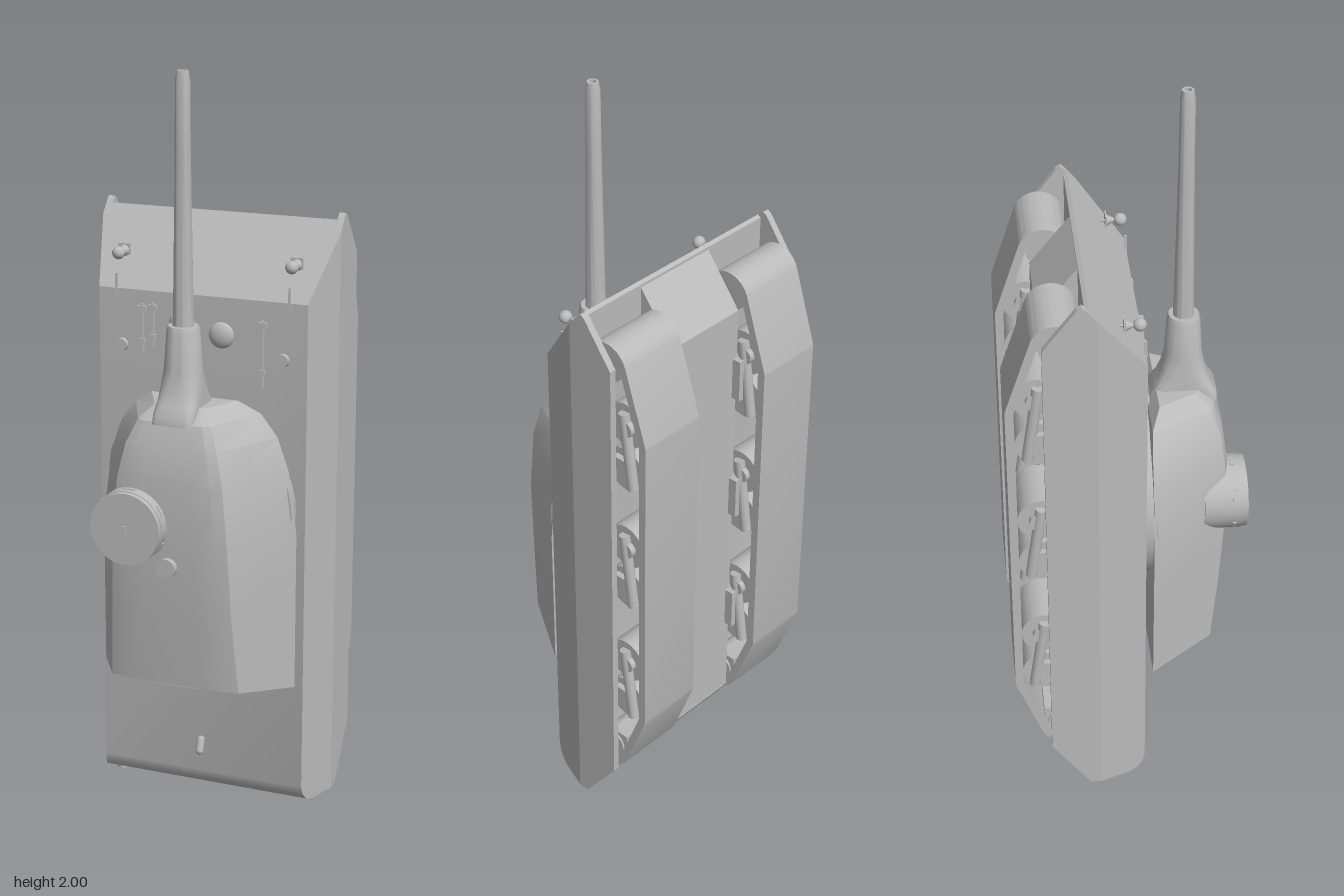
import * as THREE from 'three';
import { toCreasedNormals } from 'three/addons/utils/BufferGeometryUtils.js';

const grey = new THREE.MeshStandardMaterial({ color: 0xbababa });
grey.name = 'light grey';

export function createModel() {
  const root = new THREE.Group();
  const add = (name, geo, x = 0, y = 0, z = 0, parent = root) => {
    const m = new THREE.Mesh(geo, grey);
    m.name = name;
    m.position.set(x, y, z);
    parent.add(m);
    return m;
  };
  const box = (w, h, d) => new THREE.BoxGeometry(w, h, d);
  const cylX = (r, len, n = 24) => new THREE.CylinderGeometry(r, r, len, n).rotateZ(Math.PI / 2);
  // Cylinder along z with a back and a front radius
  const cylZ = (back, front, len, n = 32) => new THREE.CylinderGeometry(front, back, len, n).rotateX(Math.PI / 2);

  // Side profile of [z, y] points extruded across x
  const slab = (pts, width, hole) => {
    const shape = new THREE.Shape(pts.map(p => new THREE.Vector2(...p)));
    if (hole) shape.holes.push(new THREE.Path(hole.map(p => new THREE.Vector2(...p))));
    const g = new THREE.ExtrudeGeometry(shape, { depth: width, bevelEnabled: false });
    return g.translate(0, 0, -width / 2).rotateY(-Math.PI / 2);
  };

  // Skin over rings of [x, y, z] points, counterclockwise seen from above
  const loft = (rings, crease) => {
    const v = [];
    const n = rings[0].length;
    for (let k = 0; k + 1 < rings.length; k++) {
      for (let i = 0; i < n; i++) {
        const j = (i + 1) % n, a = rings[k], b = rings[k + 1];
        v.push(...a[i], ...a[j], ...b[j], ...a[i], ...b[j], ...b[i]);
      }
    }
    const lo = rings[0], hi = rings[rings.length - 1];
    for (let i = 1; i < n - 1; i++) {
      v.push(...hi[0], ...hi[i], ...hi[i + 1], ...lo[0], ...lo[i + 1], ...lo[i]);
    }
    const g = new THREE.BufferGeometry();
    g.setAttribute('position', new THREE.Float32BufferAttribute(v, 3));
    return toCreasedNormals(g, crease);
  };

  // Upper hull, sides leaning inward towards the deck
  const upper = slab([[0.035, 1.41], [-0.09, 1.578], [-0.09, 0.02], [-0.01, 0.02],
    [0.012, 0.027], [0.028, 0.045], [0.035, 0.07]], 2);
  const pos = upper.attributes.position;
  for (let i = 0; i < pos.count; i++) {
    const t = (pos.getZ(i) + 0.09) / 0.125;
    pos.setX(i, Math.sign(pos.getX(i)) * (0.333 - 0.043 * t));
  }
  upper.computeVertexNormals();
  add('upperHull', toCreasedNormals(upper, 0.5));

  // Sponson floor, belly and sloped rear plate
  add('sponsonFloor', slab([[-0.09, 1.578], [-0.11, 1.605], [-0.12, 1.6], [-0.12, 0.03], [-0.09, 0.03]], 0.632));
  add('belly', slab([[-0.09, 1.578], [-0.11, 1.605], [-0.225, 1.46], [-0.225, 0.19], [-0.115, 0.03], [-0.09, 0.03]], 0.24));
  add('rearPlate', slab([[-0.1, 0.03], [-0.12, 0.03], [-0.175, 0.115], [-0.165, 0.125], [-0.1, 0.07]], 0.632));

  // Outline around the running gear circles [z, y, radius]
  const loop = inset => {
    const circles = [[-0.19, 1.49, 0.065], [-0.26, 1.3, 0.058], [-0.26, 0.405, 0.058], [-0.19, 0.235, 0.065]];
    const pts = [];
    for (let i = 0; i < 72; i++) {
      const a = i / 72 * Math.PI * 2, c = Math.cos(a), s = Math.sin(a);
      const best = circles.reduce((p, q) =>
        q[0] * c + q[1] * s + q[2] > p[0] * c + p[1] * s + p[2] ? q : p);
      pts.push([best[0] + (best[2] - inset) * c, best[1] + (best[2] - inset) * s]);
    }
    return pts;
  };

  // Running gear, mirrored on both sides
  for (const s of [1, -1]) {
    const side = new THREE.Group();
    side.name = s > 0 ? 'leftRunningGear' : 'rightRunningGear';
    root.add(side);
    add('skirt', slab([[-0.09, 1.578], [-0.118, 1.612], [-0.128, 1.62], [-0.14, 1.612], [-0.225, 1.5],
      [-0.225, 0.17], [-0.12, 0.02], [-0.09, 0.02]], 0.018), s * 0.324, 0, 0, side);
    add('track', toCreasedNormals(slab(loop(0), 0.188, loop(0.022)), 0.4), s * 0.215, 0, 0, side);
    add('driveSprocket', cylX(0.044, 0.18), s * 0.215, 1.49, -0.19, side);
    add('idler', cylX(0.044, 0.18), s * 0.215, 0.235, -0.19, side);

    // Three bogies, each with two wheels and slanted arms
    for (const y of [1.26, 0.88, 0.49]) {
      for (const dy of [0.068, -0.068]) {
        add('roadWheel', cylX(0.062, 0.15), s * 0.215, y + dy, -0.234, side);
        add('wheelHub', cylX(0.022, 0.18, 16), s * 0.215, y + dy, -0.245, side);
      }
      for (const x of [0.134, 0.296]) {
        const arm = add('bogieArm', new THREE.CylinderGeometry(0.015, 0.015, 0.22, 12), s * x, y, -0.25, side);
        arm.rotation.x = 0.14;
        add('bogieBracket', box(0.02, 0.06, 0.06), s * x, y - 0.06, -0.235, side);
      }
      add('bogieMount', box(0.03, 0.12, 0.05), s * 0.12, y, -0.225, side);
    }
    add('idlerBracket', box(0.17, 0.07, 0.04), s * 0.215, 0.25, -0.222, side);

    // Headlight on a flared stalk with a guard
    add('headlight', new THREE.SphereGeometry(0.017, 20, 14), s * 0.24, 1.5, 0.02, side);
    add('headlightFlare', cylZ(0.016, 0.005, 0.022, 12), s * 0.24, 1.5, -0.007, side);
    add('headlightStalk', cylZ(0.003, 0.003, 0.03, 8), s * 0.24, 1.5, -0.024, side);
    add('headlightGuard', box(0.034, 0.03, 0.004), s * 0.24, 1.503, -0.018, side);
    add('headlightCable', box(0.005, 0.07, 0.008), s * 0.24, 1.415, 0.034, side);
    add('deckCap', cylZ(0.018, 0.016, 0.014, 20), s * 0.225, 1.26, 0.038, side);
  }

  // Turret ring and faceted turret body: [y, base half width, roof half width, roof z, base z]
  add('turretRing', cylZ(0.265, 0.265, 0.04, 48), 0, 0.85, 0.05);
  const sections = [[0.372, 0.275, 0.18, 0.238, 0.058], [0.6, 0.275, 0.168, 0.257, 0.058],
    [0.8, 0.275, 0.16, 0.27, 0.058], [0.97, 0.252, 0.145, 0.268, 0.058],
    [1.06, 0.22, 0.125, 0.256, 0.058], [1.12, 0.175, 0.1, 0.234, 0.062], [1.155, 0.12, 0.07, 0.195, 0.085]];
  const rings = sections.map(([y, w, t, zt, zb], k) => {
    const right = [[w, zb], [t, zt - 0.012], [t * 0.8, zt - 0.003], [t * 0.45, zt]];
    const left = right.map(([x, z]) => [-x, z]);
    return [...left, ...right.reverse()].map(([x, z]) => [x, y + (k ? 0 : (z - 0.06) * 0.2), z]);
  });
  add('turret', loft(rings, 0.3));
  add('turretRearPlate', box(0.115, 0.02, 0.03), 0, 0.405, 0.205);
  add('roofVent', cylZ(0.026, 0.026, 0.025, 24), 0, 0.745, 0.271);

  // Commander's cupola with vision blocks
  add('cupola', cylZ(0.098, 0.098, 0.1, 48), -0.1, 0.85, 0.25);
  add('cupolaLid', cylZ(0.096, 0.096, 0.016, 48), -0.1, 0.85, 0.307);
  add('lidHandle', box(0.01, 0.02, 0.006), -0.1, 0.85, 0.317);
  for (let i = 0; i < 6; i++) {
    const a = i / 6 * Math.PI * 2 + Math.PI / 2;
    const b = add('visionBlock', box(0.012, 0.03, 0.01), -0.1 + 0.094 * Math.cos(a), 0.85 + 0.094 * Math.sin(a), 0.28);
    b.rotation.z = a;
  }

  // Mantlet blending from a rounded box to a round sleeve: [y, half x, half z, squareness]
  const mantlet = [[1.115, 0.058, 0.088, 0.25], [1.14, 0.057, 0.086, 0.3], [1.165, 0.056, 0.07, 0.45],
    [1.2, 0.054, 0.058, 0.7], [1.25, 0.05, 0.049, 1], [1.35, 0.043, 0.043, 1], [1.36, 0.039, 0.039, 1]];
  add('mantlet', loft(mantlet.map(([y, rx, rz, p]) => Array.from({ length: 32 }, (_, i) => {
    const a = i / 32 * Math.PI * 2, c = Math.cos(a), s = Math.sin(a);
    return [rx * Math.sign(c) * Math.abs(c) ** p, y, 0.158 - rz * Math.sign(s) * Math.abs(s) ** p];
  })), 0.6));

  // Hollow gun barrel
  const barrel = [[0.028, 1.34], [0.026, 1.4], [0.02, 1.8], [0.019, 1.975], [0.015, 2], [0.009, 2], [0.009, 1.9], [0, 1.9]];
  add('gunBarrel', toCreasedNormals(new THREE.LatheGeometry(barrel.map(p => new THREE.Vector2(...p)), 28), 0.6), 0, 0, 0.158);

  // Crew domes and tools on the front deck
  for (const [x, y] of [[-0.055, 1.33], [0.055, 1.31]]) {
    add('deckDome', new THREE.SphereGeometry(0.035, 24, 14).scale(1, 1, 0.5), x, y, 0.035);
  }
  for (const [x, y, len] of [[-0.165, 1.31, 0.13], [-0.135, 1.32, 0.12], [0.17, 1.27, 0.18]]) {
    add('toolHandle', box(0.006, len, 0.01), x, y, 0.041);
    add('toolHead', box(0.022, 0.014, 0.012), x, y + len / 2 - 0.012, 0.041);
    add('toolClamp', box(0.014, 0.012, 0.014), x, y - len / 4, 0.041);
  }
  add('periscope', box(0.03, 0.03, 0.02), -0.055, 1.375, 0.04);

  // Rear deck hook and exhaust stub
  const hook = add('rearHook', new THREE.CapsuleGeometry(0.011, 0.03, 4, 12), 0, 0.15, 0.048);
  hook.rotation.x = -0.35;
  add('rearStub', new THREE.CylinderGeometry(0.015, 0.015, 0.024, 12), -0.27, 0.014, -0.035);
  return root;
}
